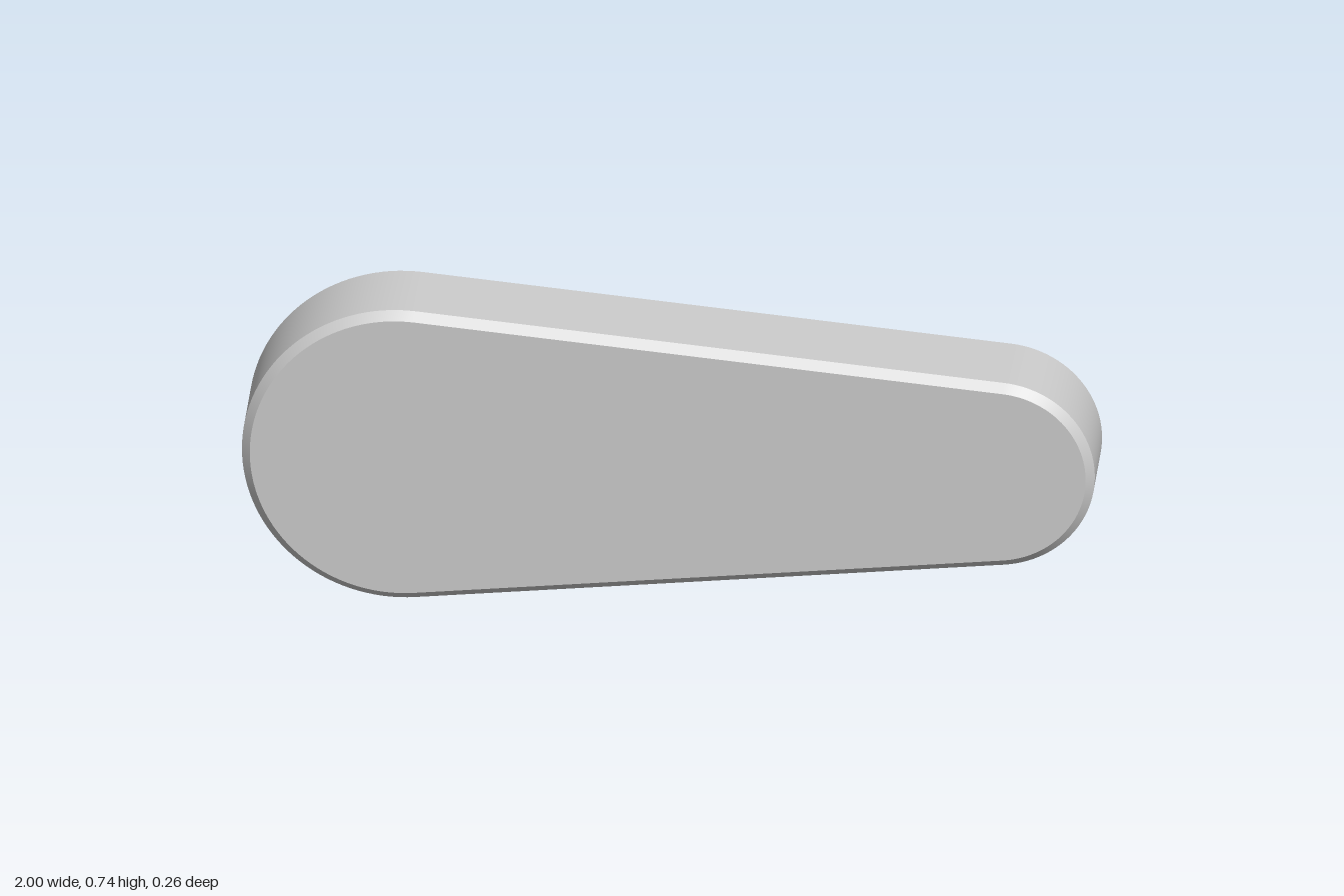
import * as THREE from 'three';

const MID_Y = 0.371, HALF = 0.128, CHAMFER = 0.02;
const BIG = { x: -0.629, r: 0.371 }, SMALL = { x: 0.764, r: 0.236 };

const material = new THREE.MeshStandardMaterial({ color: 0xcccccc });

// Points of an arc, counter-clockwise
function arc(cx, cy, r, from, to, n) {
  return Array.from({ length: n + 1 }, (_, i) => {
    const a = from + (to - from) * i / n;
    return new THREE.Vector2(cx + r * Math.cos(a), cy + r * Math.sin(a));
  });
}

// Two circles of different size joined by their tangents
function bodyOutline(inset) {
  const a = Math.acos((SMALL.r - BIG.r) / (BIG.x - SMALL.x));
  return [
    ...arc(SMALL.x, MID_Y, SMALL.r - inset, -a, a, 48),
    ...arc(BIG.x, MID_Y, BIG.r - inset, a, 2 * Math.PI - a, 64),
  ];
}

function roundedRect(cx, cy, w, h, r) {
  const q = Math.PI / 2;
  return [[1, 1], [-1, 1], [-1, -1], [1, -1]].flatMap(([sx, sy], k) =>
    arc(cx + sx * (w / 2 - r), cy + sy * (h / 2 - r), r, k * q, (k + 1) * q, 8));
}

// Wall between two matching rings; reversed rings face inwards
function wall(low, zLow, high, zHigh) {
  const n = low.length, index = [];
  const position = [...low.flatMap(p => [p.x, p.y, zLow]), ...high.flatMap(p => [p.x, p.y, zHigh])];
  for (let i = 0; i < n; i++) {
    const j = (i + 1) % n;
    index.push(i, j, n + j, i, n + j, n + i);
  }
  const g = new THREE.BufferGeometry();
  g.setAttribute('position', new THREE.Float32BufferAttribute(position, 3));
  g.setIndex(index);
  g.computeVertexNormals();
  return g;
}

// Flat face, optionally with holes, facing the front or the back
function face(outline, z, toBack, holes = []) {
  const shape = new THREE.Shape(outline);
  shape.holes = holes.map(h => new THREE.Path(h));
  const g = new THREE.ShapeGeometry(shape);
  g.translate(0, 0, z);
  if (toBack) {
    g.setIndex(Array.from(g.index.array).reverse());
    g.computeVertexNormals();
  }
  return g;
}

export function createModel() {
  const group = new THREE.Group();
  const add = (name, geometry) => {
    const mesh = new THREE.Mesh(geometry, material);
    mesh.name = name;
    group.add(mesh);
  };

  const outer = bodyOutline(0), inner = bodyOutline(CHAMFER);
  const edge = HALF - CHAMFER;
  const hole = arc(SMALL.x - 0.005, MID_Y, 0.1, 0, 2 * Math.PI, 48).slice(0, -1);
  const slot = roundedRect(-0.09, MID_Y, 0.4, 0.26, 0.03);
  const pad = roundedRect(-0.09, MID_Y, 0.384, 0.244, 0.022);

  // Chamfered body shell
  add('sideWall', wall(outer, -edge, outer, edge));
  add('frontChamfer', wall(outer, edge, inner, HALF));
  add('backChamfer', wall(inner, -HALF, outer, -edge));
  add('frontFace', face(inner, HALF, false));
  add('backFace', face(inner, -HALF, true, [hole, slot]));

  // Round blind hole in the narrow end
  const holeFloor = -HALF + 0.055;
  const holeRing = [...hole].reverse();
  add('holeWall', wall(holeRing, -HALF, holeRing, holeFloor));
  add('holeFloor', face(hole, holeFloor, true));

  // Flush panel surrounded by a fine groove
  const grooveFloor = -HALF + 0.012;
  const slotRing = [...slot].reverse();
  add('grooveOuterWall', wall(slotRing, -HALF, slotRing, grooveFloor));
  add('grooveInnerWall', wall(pad, -HALF, pad, grooveFloor));
  add('grooveFloor', face(slot, grooveFloor, true, [pad]));
  add('backPanel', face(pad, -HALF, true));

  return group;
}
